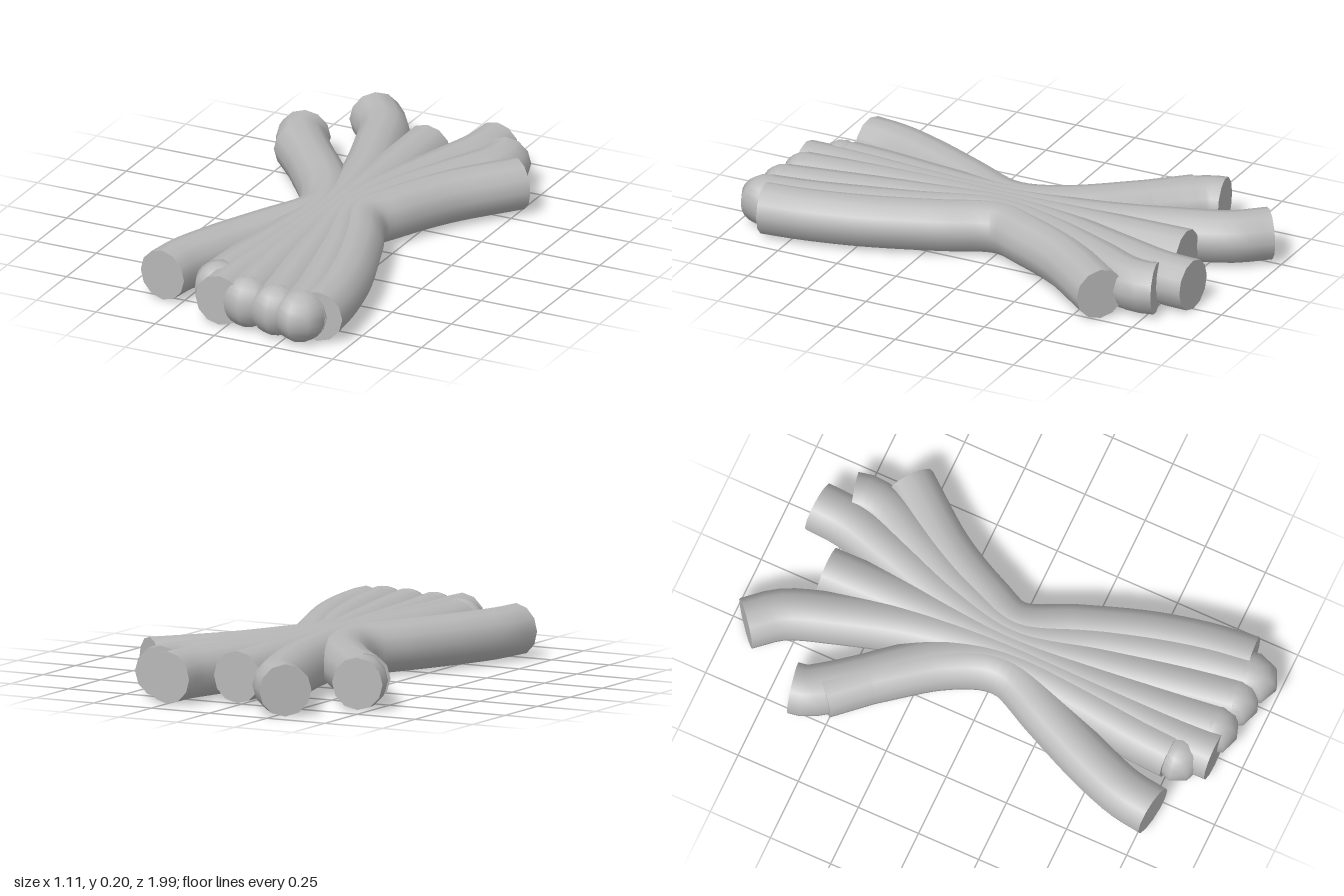
import * as THREE from 'three';

const R = 0.1, SIDES = 12;

// Each strand is a list of [x, z] points from the front end to the back end;
// knob gives the centre and half sizes [x, z, rx, rz] of a curled front tip.
const strands = [
  { pts: [[-0.33, 0.78], [-0.31, 0.65], [-0.25, 0.48], [-0.15, 0.26], [-0.06, 0.07], [-0.06, -0.03], [-0.13, -0.19], [-0.27, -0.38], [-0.38, -0.52], [-0.44, -0.61], [-0.45, -0.66]] },
  { pts: [[-0.09, 0.75], [-0.08, 0.6], [-0.05, 0.35], [-0.03, 0.1], [-0.05, -0.04], [-0.12, -0.19], [-0.25, -0.36], [-0.42, -0.55]], knob: [-0.09, 0.78, 0.1, 0.09] },
  { pts: [[-0.03, 0.9], [-0.03, 0.75], [-0.01, 0.4], [0.0, 0.1], [-0.01, -0.1], [-0.05, -0.35], [-0.13, -0.63], [-0.2, -0.82], [-0.29, -0.93]] },
  { pts: [[0.07, 0.86], [0.05, 0.65], [0.03, 0.3], [0.03, 0.0], [0.03, -0.35], [0.025, -0.74]], knob: [0.07, 0.86, 0.1, 0.085] },
  { pts: [[0.2, 0.88], [0.17, 0.7], [0.11, 0.35], [0.06, 0.02], [0.1, -0.25], [0.18, -0.53], [0.24, -0.75], [0.25, -0.88]], knob: [0.2, 0.88, 0.1, 0.09] },
  { pts: [[0.31, 0.89], [0.28, 0.7], [0.19, 0.35], [0.09, 0.02], [0.15, -0.23], [0.26, -0.48], [0.34, -0.65], [0.35, -0.73], [0.34, -0.77]], knob: [0.31, 0.89, 0.1, 0.11] },
  { pts: [[0.37, 0.87], [0.35, 0.7], [0.3, 0.48], [0.21, 0.22], [0.125, 0.0], [0.18, -0.15], [0.29, -0.36], [0.48, -0.605]] },
];

// Flat round end facing along the given direction
function endCap(point, dir, material) {
  const cap = new THREE.Mesh(new THREE.CircleGeometry(R, SIDES), material);
  cap.position.copy(point);
  cap.rotation.y = Math.atan2(dir.x, dir.z);
  cap.name = 'strandEnd';
  return cap;
}

export function createModel() {
  const model = new THREE.Group();
  model.name = 'strandBundle';
  const grey = new THREE.MeshStandardMaterial({ color: 0xb8b8b8 });
  grey.name = 'grey';

  strands.forEach(({ pts, knob }, i) => {
    const strand = new THREE.Group();
    strand.name = `strand${i + 1}`;

    // Round tube lying flat on the ground
    const curve = new THREE.CatmullRomCurve3(pts.map(([x, z]) => new THREE.Vector3(x, R, z)));
    const tube = new THREE.Mesh(new THREE.TubeGeometry(curve, 40, R, SIDES, false), grey);
    tube.name = 'strandTube';
    strand.add(tube);

    strand.add(endCap(curve.getPoint(0), curve.getTangent(0).negate(), grey));
    strand.add(endCap(curve.getPoint(1), curve.getTangent(1), grey));

    // Curled tip, angular in plan and round from the front
    if (knob) {
      const tip = new THREE.Mesh(new THREE.SphereGeometry(1, 8, 12), grey);
      tip.position.set(knob[0], R, knob[1]);
      tip.scale.set(knob[2], R, knob[3]);
      tip.name = 'strandTip';
      strand.add(tip);
    }
    model.add(strand);
  });
  return model;
}
